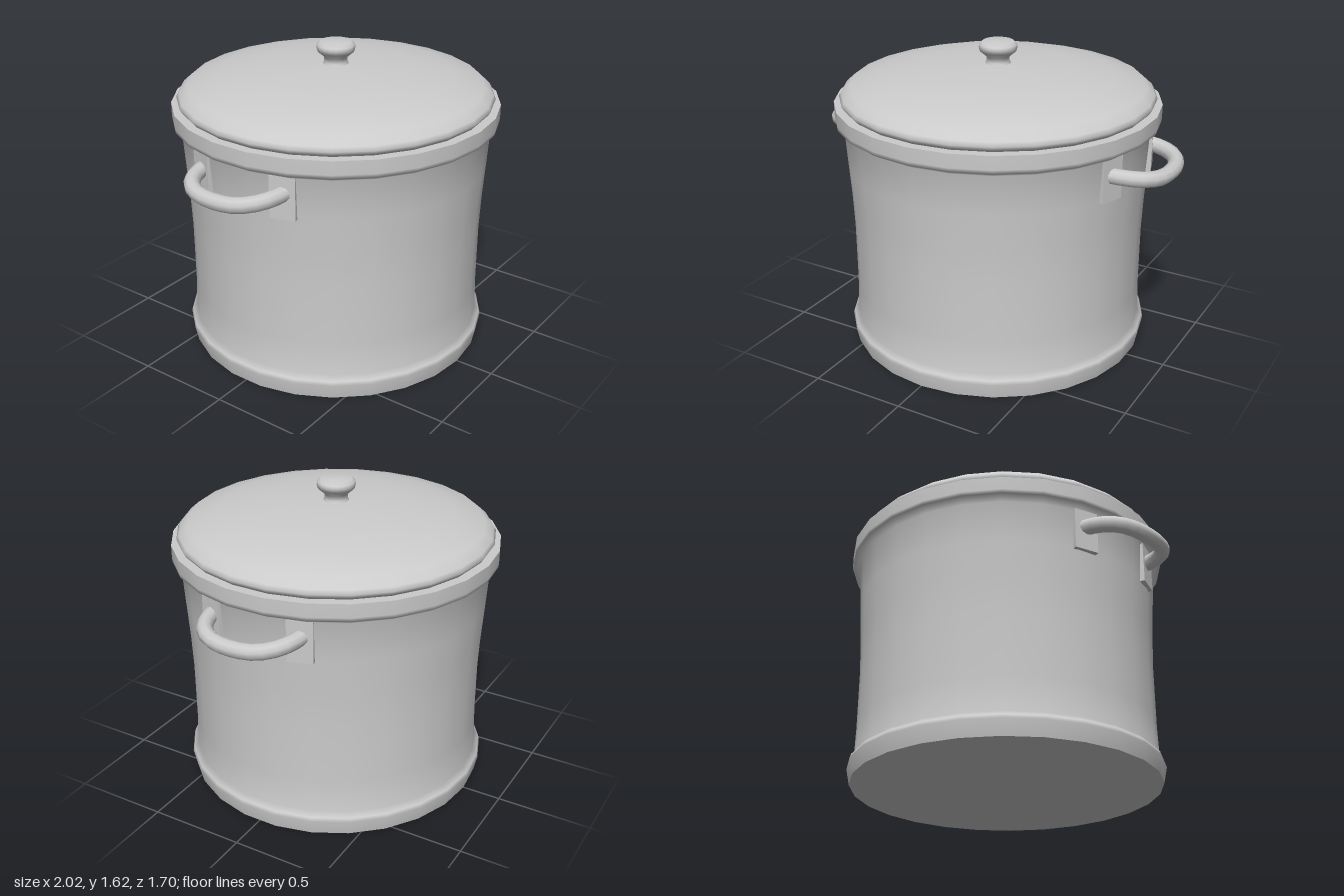
import * as THREE from 'three';

const SIDES = 26;
const material = new THREE.MeshStandardMaterial({ color: 0xcccccc, roughness: 0.6 });

function add(parent, name, geometry) {
  const mesh = new THREE.Mesh(geometry, material);
  mesh.name = name;
  parent.add(mesh);
  return mesh;
}

// Profile runs from bottom to top as [radius, y]
function lathe(profile, sides = SIDES) {
  return new THREE.LatheGeometry(profile.map(([r, y]) => new THREE.Vector2(r, y)), sides);
}

// Loop handle with two mounting plates, on the +x side
function createHandle(name) {
  const handle = new THREE.Group();
  handle.name = name;
  const half = [[0.75, 1.12, 0.25], [0.83, 1.115, 0.235], [0.915, 1.105, 0.18], [0.96, 1.095, 0.09]];
  const mirrored = half.map(([x, y, z]) => [x, y, -z]).reverse();
  const points = [...half, ...mirrored].map((p) => new THREE.Vector3(...p));
  const curve = new THREE.CatmullRomCurve3(points);
  add(handle, 'grip', new THREE.TubeGeometry(curve, 14, 0.04, 10));
  for (const side of [1, -1]) {
    const angle = side * 0.315;
    const plate = add(handle, 'mountingPlate', new THREE.BoxGeometry(0.035, 0.22, 0.13));
    plate.position.set(0.795 * Math.cos(angle), 1.1, 0.795 * Math.sin(angle));
    plate.rotation.y = -angle;
  }
  return handle;
}

export function createModel() {
  const pot = new THREE.Group();
  pot.name = 'cookingPot';

  // Pot: flat bottom, flared foot, slightly widening wall and thick rim
  add(pot, 'bottom', lathe([[0, 0], [0.795, 0]]));
  add(pot, 'wall', lathe([
    [0.795, 0], [0.812, 0.08], [0.805, 0.1], [0.78, 0.125], [0.775, 0.3], [0.775, 0.62],
    [0.782, 0.8], [0.795, 1.0], [0.808, 1.205], [0.848, 1.23], [0.85, 1.25], [0.85, 1.32],
  ]));
  add(pot, 'rimTop', lathe([[0.85, 1.32], [0.76, 1.32]]));

  // Domed lid
  add(pot, 'lid', lathe([
    [0.79, 1.31], [0.81, 1.33], [0.822, 1.35], [0.81, 1.37], [0.765, 1.41],
    [0.61, 1.455], [0.39, 1.49], [0.1, 1.505], [0, 1.506],
  ]));

  // Mushroom knob
  add(pot, 'knob', lathe([
    [0.07, 1.5], [0.06, 1.515], [0.06, 1.54], [0.095, 1.57], [0.1, 1.59],
    [0.098, 1.605], [0.08, 1.62], [0, 1.622],
  ], 20));

  // Handles on both sides
  pot.add(createHandle('leftHandle'));
  const right = createHandle('rightHandle');
  right.rotation.y = Math.PI;
  pot.add(right);

  return pot;
}
